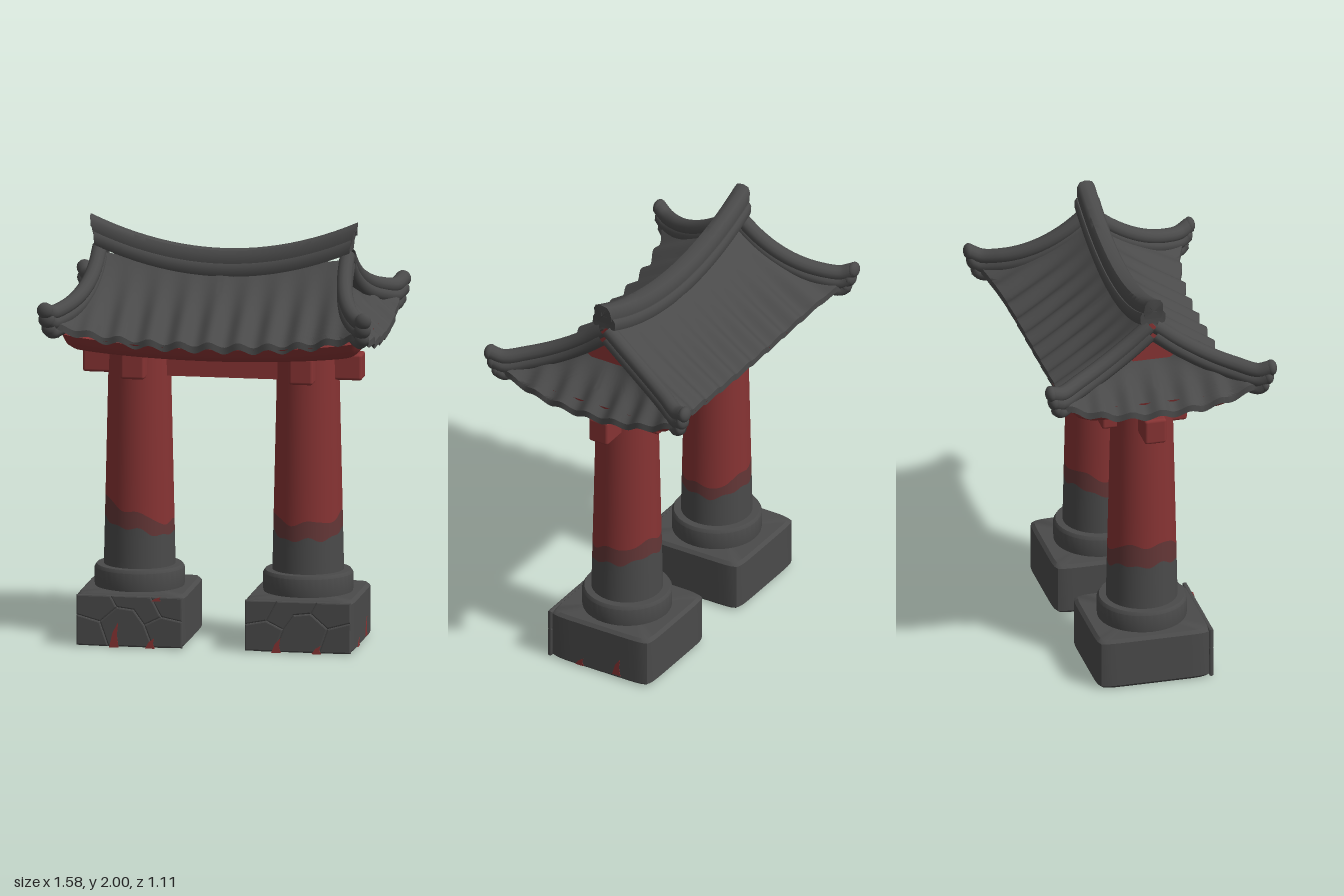
import * as THREE from 'three';
import { mergeVertices, toCreasedNormals } from 'three/addons/utils/BufferGeometryUtils.js';
import { RoundedBoxGeometry } from 'three/addons/geometries/RoundedBoxGeometry.js';

const material = (name, color) => {
  const m = new THREE.MeshStandardMaterial({ color, side: THREE.DoubleSide });
  m.name = name;
  return m;
};
const mix = THREE.MathUtils.lerp;

// Surface from a rule fn(u, v) -> [x, y, z], with u and v in 0..1
function surface(fn, nu, nv, crease = 0.7) {
  const g = new THREE.PlaneGeometry(1, 1, nu, nv);
  const p = g.attributes.position, uv = g.attributes.uv;
  for (let i = 0; i < p.count; i++) p.setXYZ(i, ...fn(uv.getX(i), uv.getY(i)));
  g.deleteAttribute('uv');
  g.deleteAttribute('normal');
  return toCreasedNormals(mergeVertices(g, 1e-5), crease);
}

// Point on a square of half size 1 with softened corners, t in 0..1
function square(t) {
  const s = (t % 1) * 4, k = Math.floor(s), e = (s - k) * 2 - 1;
  const [a, b] = [[1, e], [-e, 1], [-1, -e], [e, -1]][k];
  const f = 1 - 0.05 * Math.abs(a * b) ** 8;
  return [a * f, b * f];
}

// Roof rules: v runs from ridge (0) to eave (1)
const hipX = v => 0.585 + 0.16 * v ** 2.2;
const hipY = v => 1.82 - 0.44 * v + 0.2 * v * v;
const hipZ = v => 0.5 * v;
const wave = (s, v) => 0.013 * Math.min(1, v * 1.5) * Math.cos(s * 2 * Math.PI / 0.14);
// Top rows, then the eave edge, then a strip of underside
function shellRow(s) {
  const k = Math.round(s * 20);
  return k <= 16 ? [k / 16, 0] : [1 - (k - 17) * 0.09, 0.032];
}

export function createModel() {
  const root = new THREE.Group();
  const grey = material('slate grey', 0x4a4a4a);
  const red = material('lacquer red', 0x863333);
  const worn = material('worn red', 0x633636);
  const add = (name, geometry, mat, x = 0, y = 0, z = 0, parent = root) => {
    const m = new THREE.Mesh(geometry, mat);
    m.name = name;
    m.position.set(x, y, z);
    parent.add(m);
    return m;
  };
  const plate = (points, depth, bevel) => new THREE.ExtrudeGeometry(
    new THREE.Shape(points.map(([x, y]) => new THREE.Vector2(x, y))),
    { depth, bevelEnabled: bevel > 0, bevelThickness: bevel, bevelSize: bevel, bevelOffset: -bevel, bevelSegments: 2 });

  // Hollow plinth: inset from the side and height of each ring
  const plinthRings = [[0.25, 0.11], [0.13, 0.11], [0.11, 0.004], [0.015, 0], [0, 0.015], [0, 0.235], [0.015, 0.25], [0.25, 0.25]];
  const plinth = surface((u, v) => {
    const [a, b] = square(u), [inset, y] = plinthRings[Math.round(v * 7)];
    return [a * (0.256 - inset), y, b * (0.272 - inset)];
  }, 64, 7);
  const stones = [
    [[-0.25, 0.005], [-0.11, 0.005], [-0.07, 0.11], [-0.15, 0.15], [-0.25, 0.13]],
    [[-0.25, 0.13], [-0.15, 0.15], [-0.1, 0.245], [-0.25, 0.245]],
    [[-0.11, 0.005], [0.1, 0.005], [0.14, 0.12], [0.06, 0.19], [-0.02, 0.18], [-0.07, 0.11]],
    [[-0.15, 0.15], [-0.07, 0.11], [-0.02, 0.18], [0.06, 0.19], [0.09, 0.245], [-0.1, 0.245]],
    [[0.1, 0.005], [0.25, 0.005], [0.25, 0.15], [0.14, 0.12]],
    [[0.14, 0.12], [0.25, 0.15], [0.25, 0.245], [0.09, 0.245], [0.06, 0.19]],
  ];
  const stain = plate([[-0.025, 0], [0.02, 0], [0.012, 0.05], [0.018, 0.1], [-0.008, 0.06]], 0.006, 0);

  const radius = y => mix(0.168, 0.143, (y - 0.3) / 1.1);
  for (const side of [-1, 1]) {
    const post = new THREE.Group();
    post.name = side > 0 ? 'leftPost' : 'rightPost';
    post.position.x = side * 0.398;
    root.add(post);

    // Stone base with faced blocks and stains
    add('plinth', plinth, grey, 0, 0, 0, post);
    for (const s of stones) {
      const pts = s.map(([x, y]) => [x * side, y]);
      add('facingStone', plate(pts, 0.008, 0.007), grey, 0, 0, 0.267, post);
    }
    const stains = side > 0 ? [[-0.1, 0, 0.7], [0.09, 0, 0.4]] : [[-0.07, 0, 1.2], [0.1, 0, 0.5], [0.13, 0.225, 0.2]];
    for (const [x, y, h] of stains) add('stain', stain, red, x, y, 0.279, post).scale.y = h;
    if (side > 0) for (const [z, y, h] of [[0.1, 0.01, 0.4], [-0.1, 0.02, 0.9]]) {
      const m = add('sideStain', stain, red, 0.252, y, z, post);
      m.rotation.y = Math.PI / 2;
      m.scale.y = h;
    }
    const collar = [[0.15, 0.24], [0.207, 0.24], [0.21, 0.26], [0.21, 0.335], [0.2, 0.35], [0.15, 0.352]];
    add('collar', toCreasedNormals(new THREE.LatheGeometry(collar.map(p => new THREE.Vector2(...p)), 40), 0.6), grey, 0, 0, 0, post);

    // Column in three bands with ragged borders
    const ragged = a => 0.008 * Math.sin(5 * a + 1) + 0.007 * Math.sin(9 * a);
    const low = a => ragged(a) + (side > 0 ? 0.545 - 0.035 * Math.cos(a) : 0.535 - 0.035 * Math.sin(a));
    const high = a => low(a) + 0.08 + ragged(a + 1) - (side > 0 ? 0 : 0.025 * Math.sin(a));
    const band = (from, to) => surface((u, v) => {
      const a = u * 2 * Math.PI, y = mix(from(a), to(a), v), r = radius(y);
      return [r * Math.sin(a), y, r * Math.cos(a)];
    }, 72, 4);
    add('columnFoot', band(() => 0.34, low), grey, 0, 0, 0, post);
    add('wornBand', band(low, high), worn, 0, 0, 0, post);
    add('columnShaft', band(high, () => 1.4), red, 0, 0, 0, post);

    // Bracket through the column and the beam end
    add('crossBracket', new RoundedBoxGeometry(0.115, 0.128, 0.41, 3, 0.014), red, 0, 1.32, 0, post);
    add('beamEnd', new RoundedBoxGeometry(0.3, 0.125, 0.105, 3, 0.014), red, side * 0.112, 1.319, 0, post);
  }
  add('crossBeam', new THREE.BoxGeometry(0.8, 0.135, 0.1), red, 0, 1.318, 0);

  // Curved tray beneath the roof
  const trayRings = [[0, 0, 1.377], [0.6, 0.27, 1.377], [0.67, 0.335, 1.382], [0.695, 0.365, 1.4], [0.705, 0.385, 1.425], [0.715, 0.4, 1.45]];
  add('soffit', surface((u, v) => {
    const [a, b] = square(u), [hx, hz, y] = trayRings[Math.round(v * 5)];
    const x = a * hx, q = (x / 0.7) ** 2;
    return [x, y + q * mix(0.035, 0.055, v), b * (hz + 0.045 * q * v)];
  }, 96, 5, 0.9), red);

  for (const side of [-1, 1]) {
    // Long slope, side = front or back
    add(side > 0 ? 'frontSlope' : 'backSlope', surface((u, s) => {
      const [v, drop] = shellRow(s), e = u * 2 - 1, w = Math.abs(e);
      const x = e * hipX(v), bump = wave(x, v) * (1 - w ** 8);
      const y = mix(1.79 - 0.315 * v ** 0.85, hipY(v), w ** 3);
      return [x, y + bump - drop, side * (v * (0.41 + 0.09 * w ** 4) + bump * 0.6 * v)];
    }, 120, 20), grey);

    // Short skirt at each end
    add(side > 0 ? 'leftSkirt' : 'rightSkirt', surface((u, s) => {
      const [t, drop] = shellRow(s), v = mix(0.26, 1, t), e = u * 2 - 1, w = Math.abs(e);
      const z = e * hipZ(v), bump = wave(z, t) * (1 - w ** 8);
      const x = mix(0.55 + 0.205 * t, hipX(v), w ** 3);
      const y = mix(1.685 - 0.21 * t ** 0.85, hipY(v), w ** 2.4);
      return [side * (x + bump * 0.6 * t), y + bump - drop, z];
    }, 72, 20), grey);

    // Gable panel
    const gable = plate([[-0.17, 1.66], [0.17, 1.66], [0, 1.85]], 0.008, 0);
    add('gable', gable, red, side * 0.572 - 0.004, 0, 0).rotation.y = Math.PI / 2;

    // Stacked hip ridges with rounded upturned tips
    for (const front of [-1, 1]) {
      const layers = [[0, 0.036, 0.02, 0], [0.045, 0.037, 0.02, 0.014], [0.09, 0.032, 0.55, 0.03]];
      for (const [drop, r, start, back] of layers) {
        const pts = [0, 0.2, 0.4, 0.6, 0.8, 1].map(k => {
          const v = mix(start, 0.95, k);
          return new THREE.Vector3(side * hipX(v), hipY(v) + 0.032 - drop, front * hipZ(v));
        });
        const tip = new THREE.Vector3(side * (0.752 - back * 0.4), 1.635 - drop, front * (0.53 - back));
        pts.push(tip);
        add('hipRidge', new THREE.TubeGeometry(new THREE.CatmullRomCurve3(pts), 28, r, 12), grey);
        add('hipTip', new THREE.SphereGeometry(r * 1.06, 16, 10), grey, tip.x, tip.y, tip.z).scale.z = 0.7;
      }
    }
  }

  // Main ridge: two swept sections of [half width, depth below the top curve], ends capped
  const ridgeTop = x => 1.855 + 0.142 * (x / 0.63) ** 2;
  const ridge = (section, length, flare) => surface((u, s) => {
    const n = section.length, [z, d] = section[Math.round(u * n) % n];
    const k = Math.round(s * 26), cap = k === 0 || k === 26;
    const e = (Math.min(25, Math.max(1, k)) - 1) / 12 - 1;
    const x = e * (length - flare * d);
    return [x, ridgeTop(x) - (cap ? 0.06 : d), cap ? 0 : z];
  }, section.length, 26, 0.8);
  add('ridgeCap', ridge([[0.04, 0.1], [0.046, 0.06], [0.042, 0.025], [0.03, 0.006], [0, 0], [-0.03, 0.006], [-0.042, 0.025], [-0.046, 0.06], [-0.04, 0.1]], 0.63, 0.25), grey);
  add('ridgeBase', ridge([[0.055, 0.125], [0.06, 0.11], [0.06, 0.08], [0.05, 0.066], [-0.05, 0.066], [-0.06, 0.08], [-0.06, 0.11], [-0.055, 0.125]], 0.615, 0.1), grey);
  return root;
}
